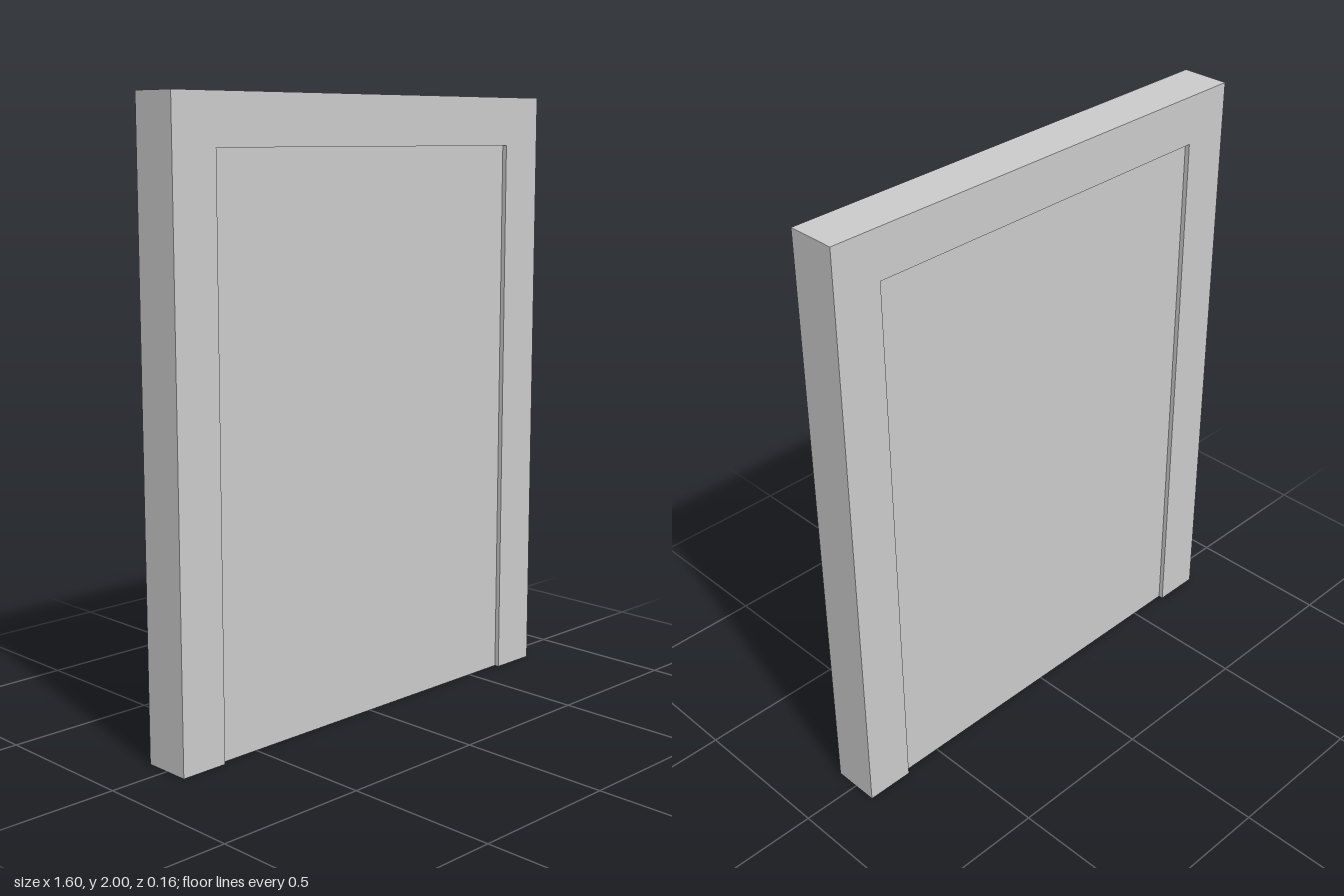
import * as THREE from 'three';

export function createModel() {
  const group = new THREE.Group();
  const material = new THREE.MeshStandardMaterial({ color: 0xcccccc, flatShading: true });
  const width = 1.6, height = 2, depth = 0.16, border = 0.16, recess = 0.016;
  const outer = width / 2, inner = outer - border, top = height - border;

  // Door surround: two jambs and a lintel in one piece, open at the floor
  const outline = new THREE.Shape([
    [-outer, 0], [-inner, 0], [-inner, top], [inner, top],
    [inner, 0], [outer, 0], [outer, height], [-outer, height],
  ].map(([x, y]) => new THREE.Vector2(x, y)));
  const frameGeometry = new THREE.ExtrudeGeometry(outline, { depth, bevelEnabled: false });
  frameGeometry.translate(0, 0, -depth / 2);
  const frame = new THREE.Mesh(frameGeometry, material);
  frame.name = 'doorFrame';
  group.add(frame);

  // Flat panel, slightly recessed on both faces
  const panel = new THREE.Mesh(new THREE.BoxGeometry(inner * 2, top, depth - recess * 2), material);
  panel.name = 'doorPanel';
  panel.position.y = top / 2;
  group.add(panel);

  return group;
}
